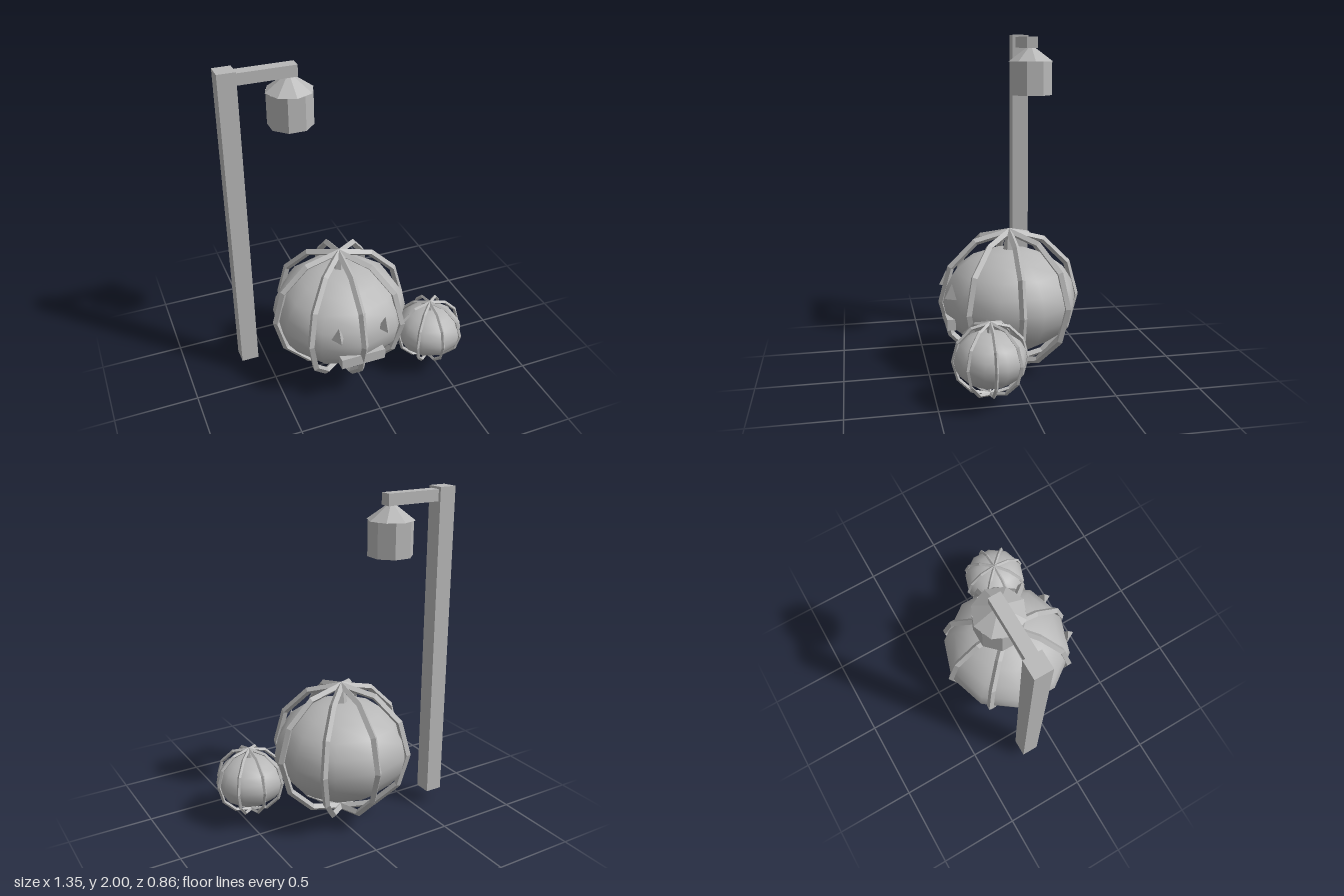
import * as THREE from 'three';

const grey = new THREE.MeshStandardMaterial({ color: 0xb8b8b8 });
grey.name = 'plain grey';

// Faceted copy of a geometry, one normal per face
function faceted(geometry) {
  const g = geometry.index ? geometry.toNonIndexed() : geometry;
  g.computeVertexNormals();
  return g;
}

function addPart(parent, name, geometry, x = 0, y = 0, z = 0) {
  const mesh = new THREE.Mesh(geometry, grey);
  mesh.name = name;
  mesh.position.set(x, y, z);
  parent.add(mesh);
  return mesh;
}

// Squashed round body inside a cage of four rib rings, with a short stem
function makePumpkin(name) {
  const pumpkin = new THREE.Group();
  pumpkin.name = name;

  const bodyGeo = new THREE.SphereGeometry(0.41, 10, 10);
  bodyGeo.rotateY(Math.PI / 2);
  bodyGeo.scale(1, 0.75, 1);
  addPart(pumpkin, 'body', bodyGeo);

  const ribGeo = faceted(new THREE.TorusGeometry(0.41, 0.0215, 4, 12));
  for (let i = 0; i < 4; i++) {
    addPart(pumpkin, 'rib', ribGeo).rotation.y = (i * Math.PI) / 4;
  }

  addPart(pumpkin, 'stem', faceted(new THREE.CylinderGeometry(0.02, 0.04, 0.12, 6)), 0, 0.345, 0);
  return pumpkin;
}

export function createModel() {
  const model = new THREE.Group();
  model.name = 'pumpkinsAndLampPost';

  // Large pumpkin with a carved face
  const large = makePumpkin('largePumpkin');
  large.position.set(-0.066, 0.436, 0);
  const eyeGeo = faceted(new THREE.ConeGeometry(0.044, 0.088, 3));
  for (const side of [-1, 1]) {
    addPart(large, 'eye', eyeGeo, side * 0.145, 0.105, 0.366);
  }
  addPart(large, 'mouth', new THREE.BoxGeometry(0.275, 0.066, 0.05), 0, -0.104, 0.37);
  model.add(large);

  // Small pumpkin at half size
  const small = makePumpkin('smallPumpkin');
  small.scale.setScalar(0.5);
  small.position.set(0.455, 0.264, 0.208);
  model.add(small);

  // Lamp post with its arm and hanging lantern
  const lamp = new THREE.Group();
  lamp.name = 'lampPost';
  lamp.position.z = -0.175;
  addPart(lamp, 'post', new THREE.BoxGeometry(0.104, 1.907, 0.102), -0.623, 1.0465, 0);
  addPart(lamp, 'arm', new THREE.BoxGeometry(0.36, 0.067, 0.068), -0.414, 1.953, 0);
  const lanternGeo = faceted(new THREE.CylinderGeometry(0.13, 0.13, 0.2, 8));
  addPart(lamp, 'lantern', lanternGeo, -0.275, 1.74, 0).rotation.y = Math.PI / 8;
  addPart(lamp, 'lanternRoof', faceted(new THREE.ConeGeometry(0.137, 0.1, 8)), -0.275, 1.89, 0);
  model.add(lamp);

  return model;
}
